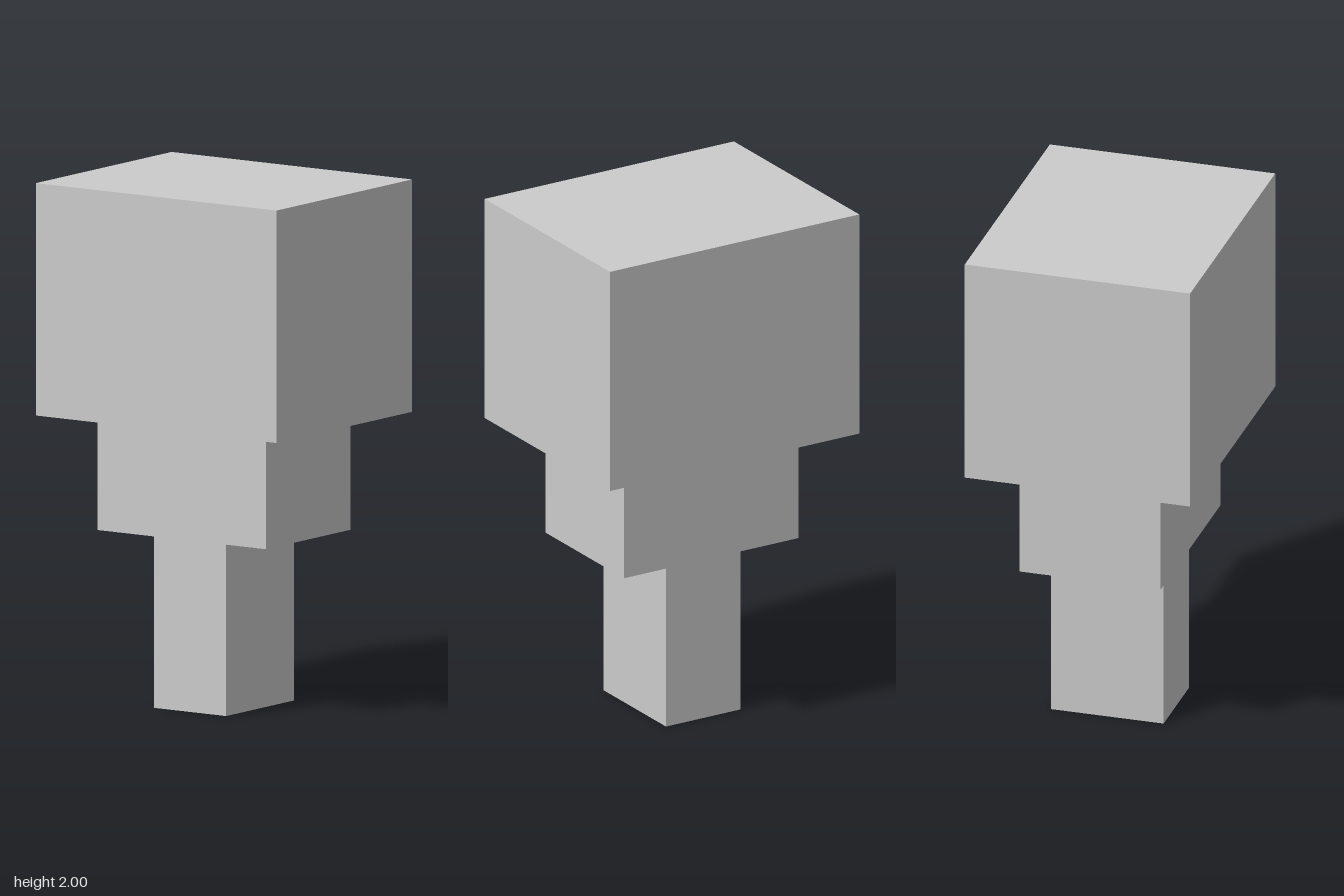
import * as THREE from 'three';

// All dimensions are whole multiples of one block unit; total height is 18 units.
const UNIT = 2 / 18;

export function createModel() {
  const model = new THREE.Group();
  model.name = 'steppedBlockTower';
  const material = new THREE.MeshStandardMaterial({ color: 0xcccccc, flatShading: true });

  // Blocks from the ground up: name, width, height, depth
  const blocks = [
    ['stem', 3, 6, 4],
    ['collar', 7, 4, 5],
    ['head', 10, 8, 8],
  ];

  let bottom = 0;
  for (const [name, w, h, d] of blocks) {
    const block = new THREE.Mesh(new THREE.BoxGeometry(w * UNIT, h * UNIT, d * UNIT), material);
    block.name = name;
    block.position.y = (bottom + h / 2) * UNIT;
    model.add(block);
    bottom += h;
  }
  return model;
}
